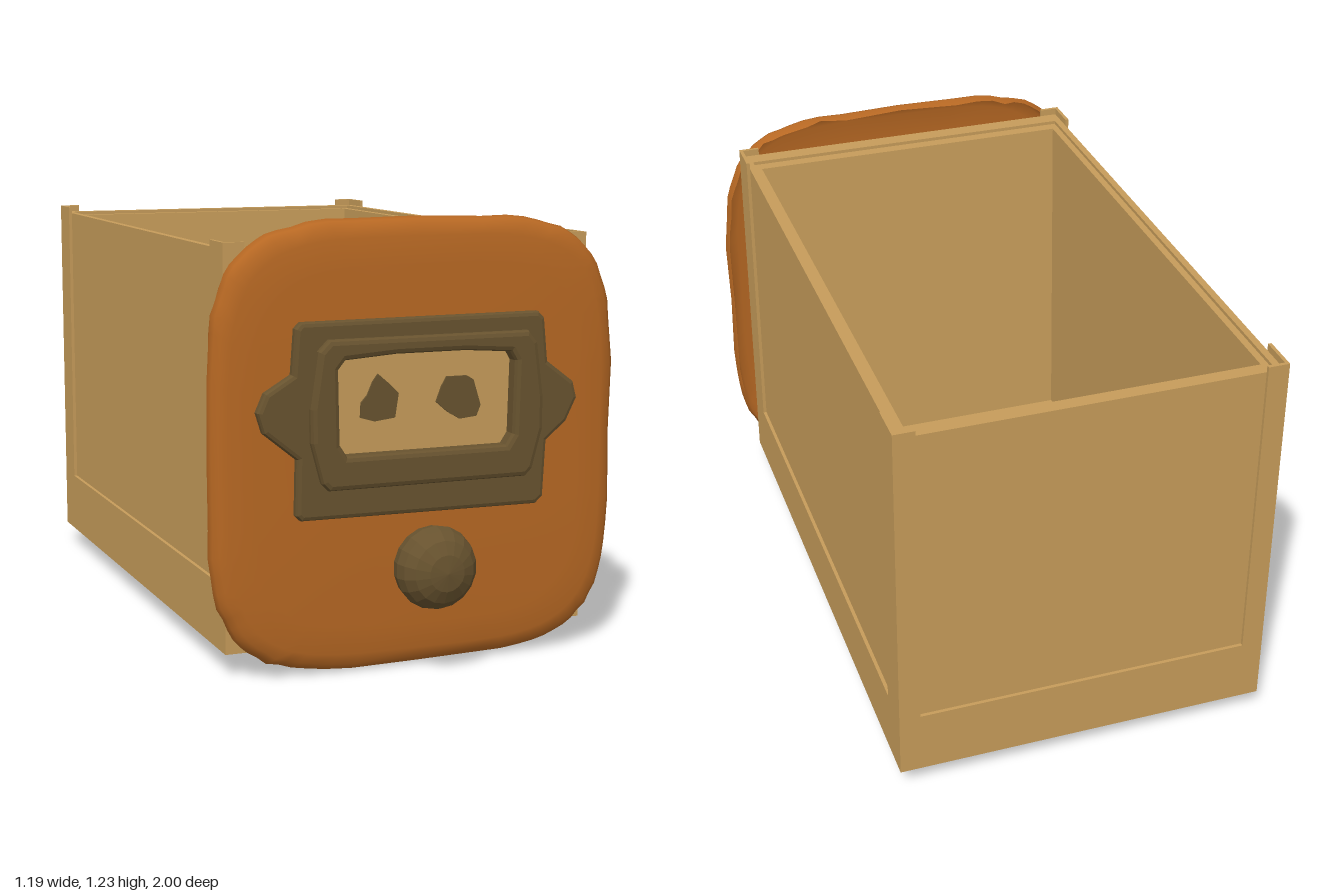
import * as THREE from 'three';

const mat = (name, color, side = THREE.FrontSide, flatShading = false) => {
  const m = new THREE.MeshStandardMaterial({ color, side, flatShading });
  m.name = name;
  return m;
};

export function createModel() {
  const root = new THREE.Group();
  root.name = 'drawer';
  const tan = mat('paleWood', 0xc69c5a);
  const orange = mat('orangeWood', 0xb76823, THREE.DoubleSide);
  const dark = mat('darkMetal', 0x68532f, THREE.FrontSide, true);

  const add = (name, geo, material, parent = root) => {
    const m = new THREE.Mesh(geo, material);
    m.name = name;
    parent.add(m);
    return m;
  };
  // box given by its minimum and maximum corners
  const box = (name, x0, x1, y0, y1, z0, z1, parent) => {
    const g = new THREE.BoxGeometry(x1 - x0, y1 - y0, z1 - z0);
    g.translate((x0 + x1) / 2, (y0 + y1) / 2, (z0 + z1) / 2);
    return add(name, g, tan, parent);
  };
  const outline = (pts) => new THREE.Shape(pts.map(([x, y]) => new THREE.Vector2(x, y)));

  // ---- wooden box ----
  const crate = new THREE.Group();
  crate.name = 'box';
  root.add(crate);
  const X = 0.535, ZB = -1, ZF = 0.72, Y0 = 0.065, T = 0.01;

  for (const s of [-1, 1]) {
    const side = (name, a, b, y0, y1, z0, z1) =>
      box(name, Math.min(s * a, s * b), Math.max(s * a, s * b), y0, y1, z0, z1, crate);
    side('sidePanel', 0.505, X - T, 0.085, 1.15, ZB + T, ZF - T);
    side('sideLedge', 0.485, 0.505, 0.085, 1.14, -0.96, 0.66);
    side('sideRail', X - T, X, Y0, 0.25, ZB, ZF);
    side('bottomSideLip', 0.465, X - T, Y0, 0.085, ZB + T, ZF - T);
    // thin L-shaped corner posts
    for (const front of [false, true]) {
      const zs = front ? [ZF - 0.105, ZF] : [ZB, ZB + 0.11];
      const ze = front ? [ZF - T, ZF] : [ZB, ZB + T];
      side('cornerPostSide', X - T, X, 0.25, 1.17, zs[0], zs[1]);
      side('cornerPostEnd', X - 0.06, X - T, 0.25, 1.17, ze[0], ze[1]);
    }
  }
  for (const [name, z0, z1, r0, r1, l0, l1] of [
    ['back', ZB + T, -0.96, ZB, ZB + T, ZB + T, ZB + 0.08],
    ['front', 0.66, ZF - T, ZF - T, ZF, ZF - 0.08, ZF - T],
  ]) {
    box(name + 'Panel', -0.505, 0.505, 0.085, 1.15, z0, z1, crate);
    box(name + 'Rail', -X + T, X - T, Y0, 0.25, r0, r1, crate);
    box(name + 'BottomLip', -0.465, 0.465, Y0, 0.085, l0, l1, crate);
  }
  // end linings, thicker towards the floor
  for (const [name, pts] of [
    ['backLining', [[0.96, 0.085], [0.96, 1.14], [0.935, 1.14], [0.88, 0.085]]],
    ['frontLining', [[-0.66, 0.085], [-0.575, 0.085], [-0.625, 1.14], [-0.66, 1.14]]],
  ]) {
    const g = new THREE.ExtrudeGeometry(outline(pts), { depth: 0.97, bevelEnabled: false });
    g.rotateY(Math.PI / 2);
    g.translate(-0.485, 0, 0);
    add(name, g, tan, crate);
  }
  box('floor', -0.505, 0.505, 0.085, 0.12, ZB + T, ZF - T, crate);

  // ---- rounded front board, an open shell with a ragged back edge ----
  let seed = 7;
  const rand = () => (seed = (seed * 16807) % 2147483647) / 2147483647;
  const N = 72;
  const rings = [[0.985, 0.742], [1, 0.762], [0.99, 0.782], [0.965, 0.797], [0.92, 0.806], [0.8, 0.812], [0.4, 0.816], [0, 0.816]];
  const pos = [], idx = [];
  const wobble = Array.from({ length: N }, () => 1 + (rand() - 0.5) * 0.012);
  rings.forEach(([k, z], r) => {
    for (let i = 0; i < N; i++) {
      const a = (i / N) * Math.PI * 2, c = Math.cos(a), s = Math.sin(a);
      const p = 2 / 4.3, w = r < 4 ? wobble[i] : 1;
      const x = Math.sign(c) * Math.abs(c) ** p * 0.595 * k * w;
      const y = 0.617 + Math.sign(s) * Math.abs(s) ** p * 0.612 * k * w;
      pos.push(x - 0.003, y, z + (r === 0 ? (rand() - 0.5) * 0.026 : 0));
      if (r) {
        const j = (i + 1) % N, a0 = (r - 1) * N + i, a1 = (r - 1) * N + j;
        idx.push(a0, a1, r * N + j, a0, r * N + j, r * N + i);
      }
    }
  });
  const boardGeo = new THREE.BufferGeometry();
  boardGeo.setAttribute('position', new THREE.Float32BufferAttribute(pos, 3));
  boardGeo.setIndex(idx);
  boardGeo.computeVertexNormals();
  add('frontBoard', boardGeo, orange);

  // ---- label holder ----
  const holder = new THREE.Group();
  holder.name = 'labelHolder';
  root.add(holder);
  const windowHole = () => outline([[-0.24, 0.61], [-0.26, 0.64], [-0.265, 0.84], [-0.245, 0.865], [-0.1, 0.875],
    [0.1, 0.875], [0.235, 0.865], [0.25, 0.84], [0.245, 0.64], [0.225, 0.61]]);
  // the bevel stays inside the given outline and widens no hole
  const frame = (name, pts, z0, z1, bevel) => {
    const shape = outline(pts);
    shape.holes.push(windowHole());
    const g = new THREE.ExtrudeGeometry(shape, {
      depth: z1 - z0 - bevel, bevelThickness: bevel, bevelSize: bevel, bevelOffset: -bevel, bevelSegments: 2,
    });
    g.translate(0, 0, z0);
    add(name, g, dark, holder);
  };
  frame('backPlate', [[-0.36, 0.44], [0.33, 0.435], [0.352, 0.455], [0.36, 0.61], [0.42, 0.66], [0.452, 0.725],
    [0.44, 0.77], [0.36, 0.83], [0.348, 0.95], [0.33, 0.968], [-0.36, 0.966], [-0.376, 0.95], [-0.385, 0.83],
    [-0.46, 0.785], [-0.482, 0.735], [-0.465, 0.68], [-0.372, 0.605], [-0.375, 0.455]], 0.8, 0.84, 0.012);
  frame('raisedFrame', [[-0.29, 0.52], [0.285, 0.52], [0.305, 0.54], [0.335, 0.65], [0.335, 0.74], [0.315, 0.89],
    [0.29, 0.92], [-0.29, 0.92], [-0.32, 0.89], [-0.342, 0.74], [-0.34, 0.65], [-0.31, 0.54]], 0.825, 0.866, 0.014);

  // label card and its two dark marks
  const label = new THREE.PlaneGeometry(0.53, 0.28);
  label.translate(-0.005, 0.742, 0.82);
  add('labelCard', label, tan, holder);
  for (const [name, pts] of [
    ['rightMark', [[-0.19, 0.705], [-0.15, 0.693], [-0.09, 0.7], [-0.08, 0.765], [-0.105, 0.79], [-0.14, 0.82],
      [-0.155, 0.8], [-0.17, 0.765], [-0.188, 0.745]]],
    ['leftMark', [[0.03, 0.735], [0.065, 0.705], [0.1, 0.685], [0.15, 0.69], [0.162, 0.72], [0.14, 0.79],
      [0.12, 0.802], [0.06, 0.802], [0.045, 0.775]]],
  ]) {
    const g = new THREE.ExtrudeGeometry(outline(pts), { depth: 0.006, bevelEnabled: false });
    g.translate(0, 0, 0.82);
    add(name, g, dark, holder);
  }

  // ---- faceted knob ----
  const profile = [[0.045, 0.8], [0.05, 0.825], [0.085, 0.855], [0.108, 0.885], [0.114, 0.918], [0.106, 0.948],
    [0.085, 0.975], [0.05, 0.993], [0, 1]].map(([r, z]) => new THREE.Vector2(r, z));
  const knob = new THREE.LatheGeometry(profile, 18);
  knob.rotateX(Math.PI / 2);
  knob.translate(-0.01, 0.305, 0);
  add('knob', knob, dark);

  return root;
}
